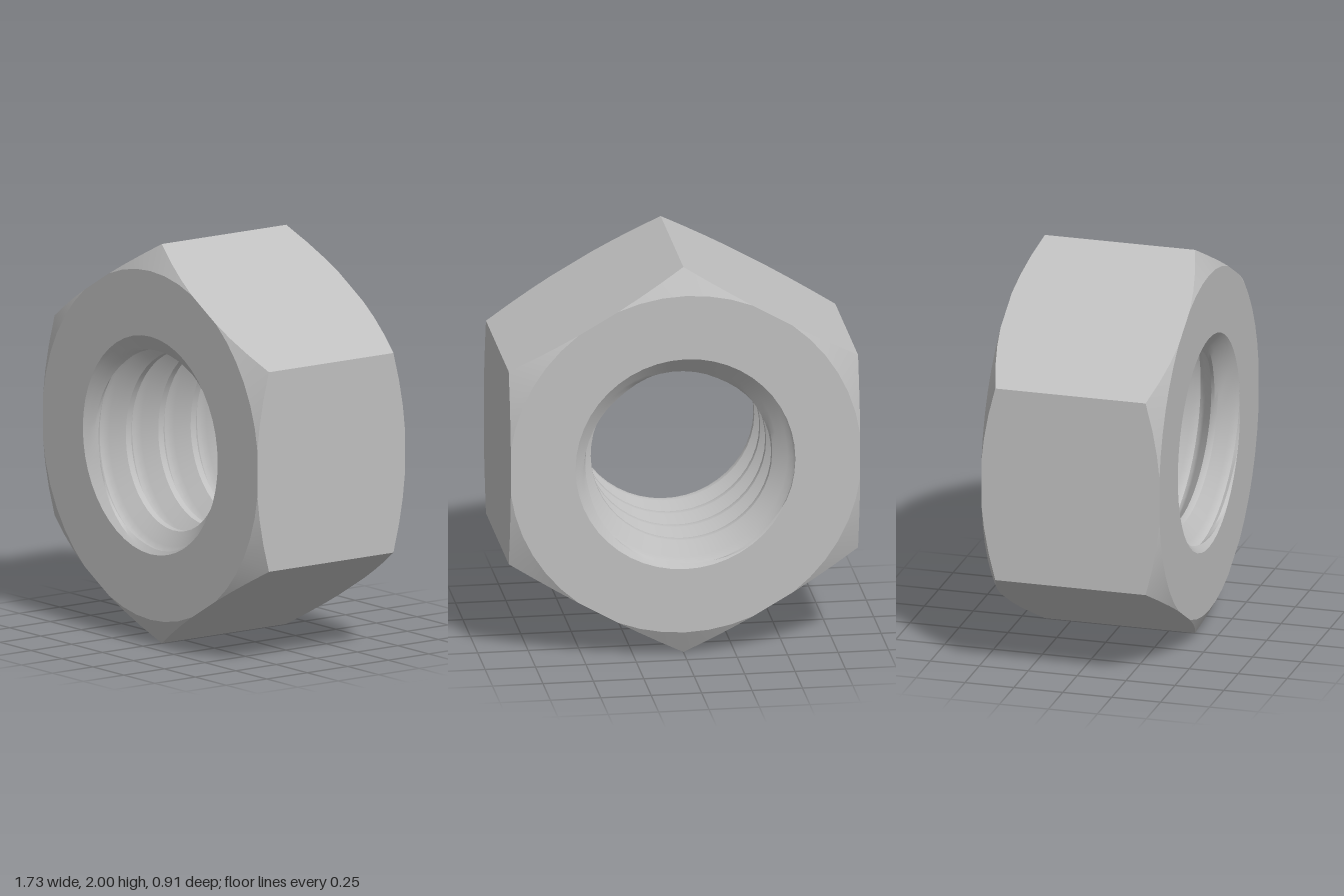
import * as THREE from 'three';
import { toCreasedNormals } from 'three/addons/utils/BufferGeometryUtils.js';

const COLUMNS = 48;        // eight per hexagon side
const HALF = 0.455;        // half thickness
const FLAT = Math.sqrt(3) / 2;
const FACE = FLAT / Math.cos(Math.PI / 24); // radius where the chamfer starts
const MAJOR = 0.545, MINOR = 0.44, PITCH = 0.2;

// Skins rows of [radius, z] points around the z axis; rows run from front to back on the outside.
function loft(rowCount, point, crease) {
  const pos = [], index = [];
  for (let j = 0; j < rowCount; j++) {
    for (let i = 0; i <= COLUMNS; i++) {
      const a = (i / COLUMNS) * Math.PI * 2 + Math.PI / 2;
      const [r, z] = point(j, i);
      pos.push(r * Math.cos(a), r * Math.sin(a), z);
    }
  }
  const at = (n) => new THREE.Vector3().fromArray(pos, n * 3);
  const addFace = (a, b, c) => {
    if (new THREE.Triangle(at(a), at(b), at(c)).getArea() > 1e-7) index.push(a, b, c);
  };
  for (let j = 0; j < rowCount - 1; j++) {
    for (let i = 0; i < COLUMNS; i++) {
      const a = j * (COLUMNS + 1) + i, b = a + COLUMNS + 1;
      addFace(a, b, b + 1);
      addFace(a, b + 1, a + 1);
    }
  }
  const geometry = new THREE.BufferGeometry();
  geometry.setAttribute('position', new THREE.Float32BufferAttribute(pos, 3));
  geometry.setIndex(index);
  return toCreasedNormals(geometry, crease);
}

// Hexagonal outside with conical corner chamfers and two ring-shaped faces
function hexBody() {
  return loft(6, (j, i) => {
    const offset = ((i % 8) / 8) * (Math.PI / 3) - Math.PI / 6;
    const R = FLAT / Math.cos(offset);
    const edgeZ = HALF - Math.max(0, R - FACE) * 0.56;
    const side = j < 3 ? 1 : -1;
    const k = j < 3 ? j : 5 - j;
    return [[MAJOR, side * HALF], [Math.min(R, FACE), side * HALF], [R, side * edgeZ]][k];
  }, 0.25);
}

// Right-handed helical thread, opened by a countersink at each end
function threadedBore() {
  const steps = 12;                       // samples per turn of pitch
  const rows = steps * 7 + 1;
  return loft(rows, (j, i) => {
    const turn = j / steps;
    const z = THREE.MathUtils.clamp((turn - 4 + i / COLUMNS) * PITCH, -HALF, HALF);
    const phase = z / PITCH - i / COLUMNS;
    const wave = Math.abs(phase - Math.round(phase)) * 2; // 0 at crest, 1 at root
    const thread = MINOR + (MAJOR - MINOR) * THREE.MathUtils.clamp((wave - 0.15) / 0.75, 0, 1);
    const sink = MAJOR - (HALF - Math.abs(z)) * 1.2;
    return [Math.abs(z) === HALF ? MAJOR : Math.max(thread, sink), z];
  }, 0.45);
}

export function createModel() {
  const steel = new THREE.MeshStandardMaterial({ color: 0xbfbfbf });
  steel.name = 'steel grey';
  const nut = new THREE.Group();
  nut.name = 'hexNut';
  for (const [name, geometry] of [['hexBody', hexBody()], ['threadedBore', threadedBore()]]) {
    const mesh = new THREE.Mesh(geometry, steel);
    mesh.name = name;
    mesh.position.y = 1;
    nut.add(mesh);
  }
  return nut;
}
